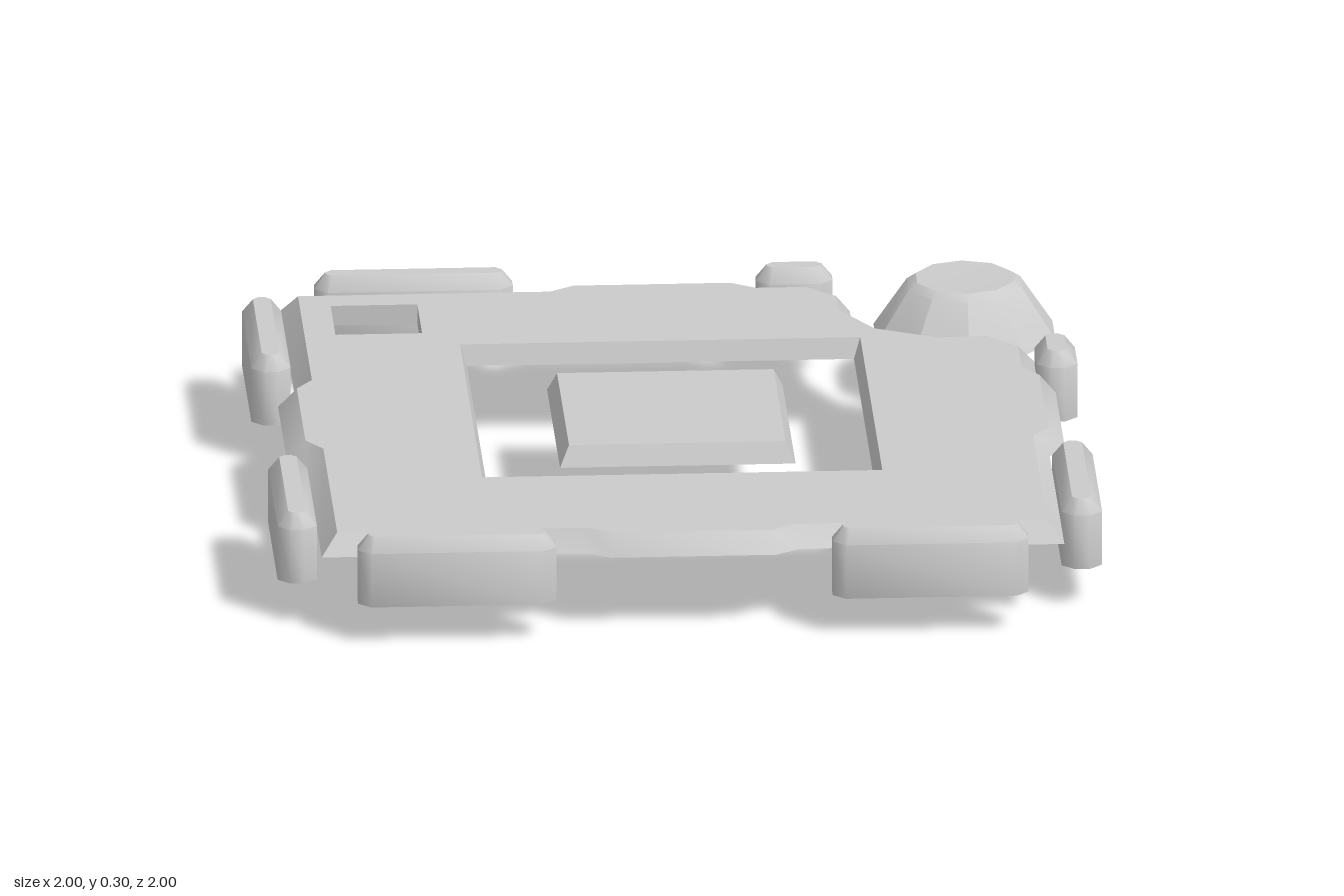
import * as THREE from 'three';
import { toCreasedNormals } from 'three/addons/utils/BufferGeometryUtils.js';

const material = new THREE.MeshStandardMaterial({ color: 0xcccccc, side: THREE.DoubleSide });
const LOW = 0.195, TOP = 0.245;

function part(name, geometry, parent) {
  const mesh = new THREE.Mesh(geometry, material);
  mesh.name = name;
  parent.add(mesh);
  return mesh;
}

// Walls between stacked rings; each ring is { y, pts: [[x, z], ...] }, bottom first
function loft(rings, crease = 0.6) {
  const pos = [];
  for (let r = 0; r < rings.length - 1; r++) {
    const lo = rings[r], hi = rings[r + 1], n = lo.pts.length;
    for (let i = 0; i < n; i++) {
      const j = (i + 1) % n;
      const v = (ring, k) => [ring.pts[k][0], ring.y, ring.pts[k][1]];
      const a = v(lo, i), b = v(lo, j), c = v(hi, j), d = v(hi, i);
      pos.push(...a, ...d, ...c, ...a, ...c, ...b);
    }
  }
  const g = new THREE.BufferGeometry();
  g.setAttribute('position', new THREE.Float32BufferAttribute(pos, 3));
  return toCreasedNormals(g, crease);
}

// Flat upward face bounded by a loop, with optional holes
function cap(y, pts, holes = []) {
  const flat = (loop) => loop.map(([x, z]) => new THREE.Vector2(x, -z));
  const shape = new THREE.Shape(flat(pts));
  for (const h of holes) shape.holes.push(new THREE.Path(flat(h)));
  return new THREE.ShapeGeometry(shape).rotateX(-Math.PI / 2).translate(0, y, 0);
}

// Rectangle loop with optional cut corners, clockwise from above
function rect(x0, x1, z0, z1, c = 0) {
  if (!c) return [[x0, z0], [x1, z0], [x1, z1], [x0, z1]];
  return [[x0, z0 + c], [x0 + c, z0], [x1 - c, z0], [x1, z0 + c],
    [x1, z1 - c], [x1 - c, z1], [x0 + c, z1], [x0, z1 - c]];
}

// Open-bottomed solid made of rings with a flat top
function shell(name, rings, parent, crease) {
  const g = new THREE.Group();
  g.name = name;
  const last = rings[rings.length - 1];
  part(name + 'Sides', loft(rings, crease), g);
  part(name + 'Top', cap(last.y, last.pts), g);
  parent.add(g);
}

export function createModel() {
  const model = new THREE.Group();
  model.name = 'floorPlate';

  // Frame outline: outer x, outer z, inner x, inner z (lower rim and top edge)
  const outline = [
    [-0.9, -0.9, -0.86, -0.86], [-0.26, -0.9, -0.25, -0.86],
    [-0.2, -0.945, -0.19, -0.9], [0.2, -0.945, 0.19, -0.9],
    [0.26, -0.9, 0.25, -0.86], [0.4, -0.9, 0.37, -0.86],
    [0.475, -0.82, 0.44, -0.79], [0.475, -0.74, 0.44, -0.69],
    [0.55, -0.585, 0.52, -0.55], [0.7, -0.5, 0.67, -0.475],
    [0.82, -0.51, 0.79, -0.48], [0.9, -0.43, 0.86, -0.4],
    [0.9, -0.26, 0.86, -0.25], [0.94, -0.2, 0.9, -0.19],
    [0.94, 0.2, 0.9, 0.19], [0.9, 0.26, 0.86, 0.25],
    [0.9, 0.9, 0.86, 0.86], [0.26, 0.9, 0.25, 0.86],
    [0.2, 0.94, 0.19, 0.9], [-0.2, 0.94, -0.19, 0.9],
    [-0.26, 0.9, -0.25, 0.86], [-0.9, 0.9, -0.86, 0.86],
    [-0.9, 0.26, -0.86, 0.25], [-0.945, 0.2, -0.9, 0.19],
    [-0.945, -0.2, -0.9, -0.19], [-0.9, -0.26, -0.86, -0.25],
  ];
  const rim = outline.map(([x, z]) => [x, z]);
  const edge = outline.map((p) => [p[2], p[3]]);
  const openingTop = rect(-0.488, 0.482, -0.488, 0.48).reverse();
  const openingLow = rect(-0.472, 0.466, -0.472, 0.464).reverse();
  const notch = rect(-0.785, -0.575, -0.785, -0.575).reverse();

  const frame = new THREE.Group();
  frame.name = 'frame';
  part('frameTop', cap(TOP, edge, [openingTop, notch]), frame);
  part('frameRim', loft([{ y: LOW, pts: rim }, { y: TOP, pts: edge }]), frame);
  part('openingWall', loft([{ y: LOW, pts: openingLow }, { y: TOP, pts: openingTop }]), frame);
  part('notchWall', loft([{ y: LOW, pts: notch }, { y: TOP, pts: notch }]), frame);
  model.add(frame);

  // Centre pad with bevelled edge
  shell('centrePad', [
    { y: LOW, pts: rect(-0.288, 0.283, -0.29, 0.28) },
    { y: TOP, pts: rect(-0.265, 0.26, -0.267, 0.257) },
  ], model);

  // Bumpers round the edge: x0, x1, z0, z1
  const bumpers = [
    [-0.815, -0.335, -1, -0.908], [0.255, 0.44, -1, -0.908],
    [-0.815, -0.335, 0.9, 0.995], [0.335, 0.81, 0.9, 0.995],
    [-1, -0.905, -0.815, -0.34], [-1, -0.905, 0.335, 0.81],
    [0.9, 0.998, -0.445, -0.265], [0.9, 0.998, 0.335, 0.81],
  ];
  for (const [x0, x1, z0, z1] of bumpers) {
    const ring = (y, d, c) => ({ y, pts: rect(x0 + d, x1 - d, z0 + d, z1 - d, c) });
    shell('bumper', [ring(0.098, 0, 0.03), ring(0.235, 0, 0.03), ring(0.27, 0.026, 0.015)], model, 0.9);
  }

  // Arm under the frame reaching to the corner post
  const arm = rect(0.605, 0.835, -0.68, -0.18);
  shell('arm', [{ y: 0.097, pts: arm }, { y: 0.153, pts: arm }], model);

  // Corner post: six-sided stalk and ten-sided domed head
  const post = new THREE.Group();
  post.name = 'cornerPost';
  post.position.set(0.75, 0, -0.765);
  const stalk = new THREE.CylinderGeometry(0.13, 0.13, 0.17, 6, 1, true);
  stalk.rotateY(Math.PI / 2).translate(0, 0.085, 0);
  part('stalk', toCreasedNormals(stalk, 0.6), post);
  const profile = [[0.228, 0.156], [0.145, 0.28], [0.122, 0.296], [0, 0.292]];
  const head = new THREE.LatheGeometry(profile.map(([r, y]) => new THREE.Vector2(r, y)), 10);
  part('head', toCreasedNormals(head, 0.4), post);
  model.add(post);

  return model;
}
